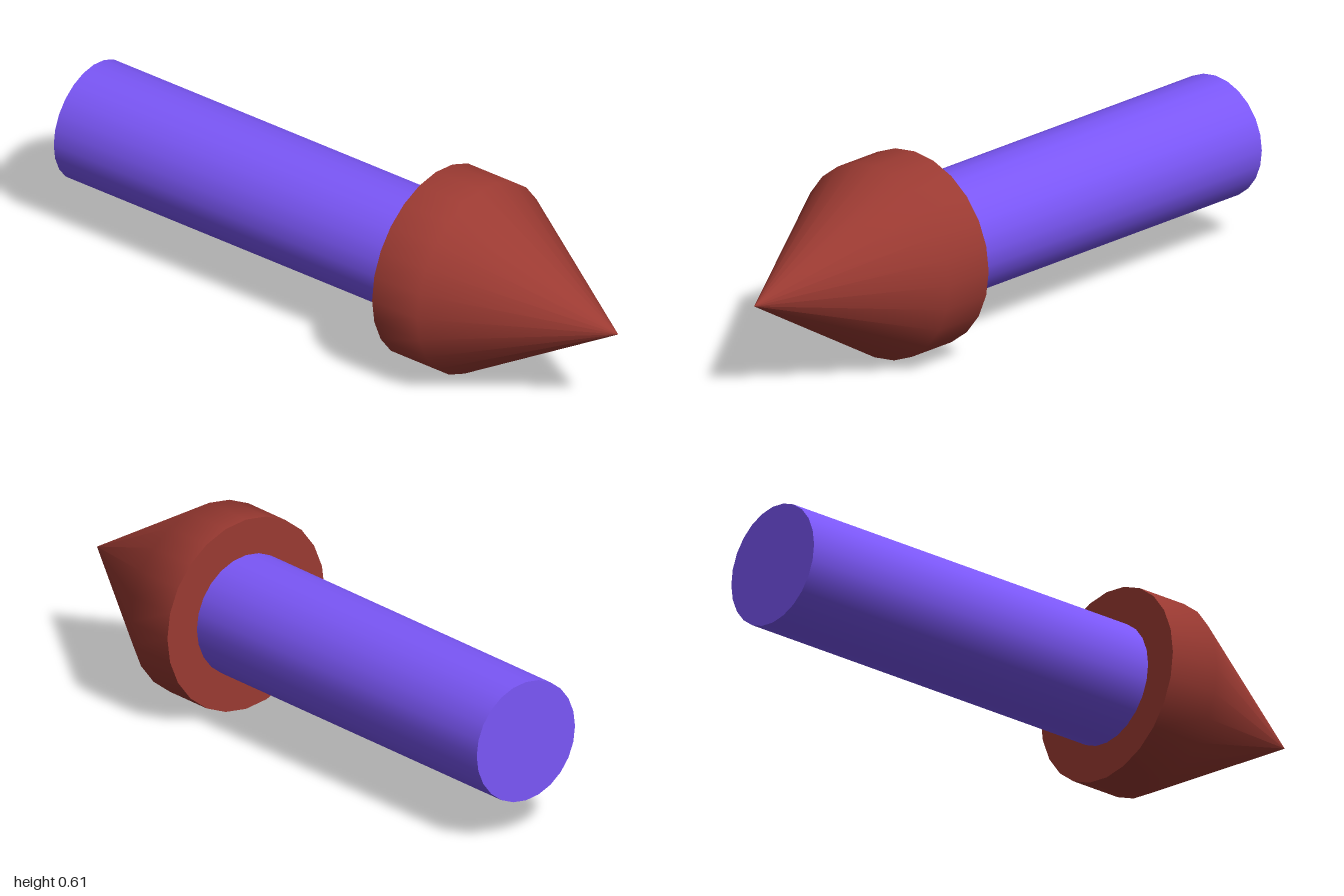
import * as THREE from 'three';

const SIDES = 24;
const HEAD_R = 0.304, SHAFT_R = 0.19;
const TIP_Z = 1, SHOULDER_Z = 0.477, BASE_Z = 0.305, TAIL_Z = -1;

export function createModel() {
  const group = new THREE.Group();
  const red = new THREE.MeshStandardMaterial({ color: 0x9b3a32 });
  const violet = new THREE.MeshStandardMaterial({ color: 0x7b57f8 });

  const add = (name, geometry, material, z = 0) => {
    const mesh = new THREE.Mesh(geometry, material);
    mesh.name = name;
    mesh.position.set(0, HEAD_R, z);
    group.add(mesh);
  };

  // Pointed head: short collar blending smoothly into a cone
  const profile = [[HEAD_R, BASE_Z], [HEAD_R, SHOULDER_Z], [0, TIP_Z]]
    .map(([r, z]) => new THREE.Vector2(r, z));
  add('head', new THREE.LatheGeometry(profile, SIDES).rotateX(Math.PI / 2), red);

  // Flat back of the head
  add('headBase', new THREE.CircleGeometry(HEAD_R, SIDES).rotateY(Math.PI), red, BASE_Z);

  // Round shaft with a flat tail end
  const length = BASE_Z - TAIL_Z;
  add('shaft', new THREE.CylinderGeometry(SHAFT_R, SHAFT_R, length, SIDES).rotateX(Math.PI / 2),
    violet, (BASE_Z + TAIL_Z) / 2);

  return group;
}
